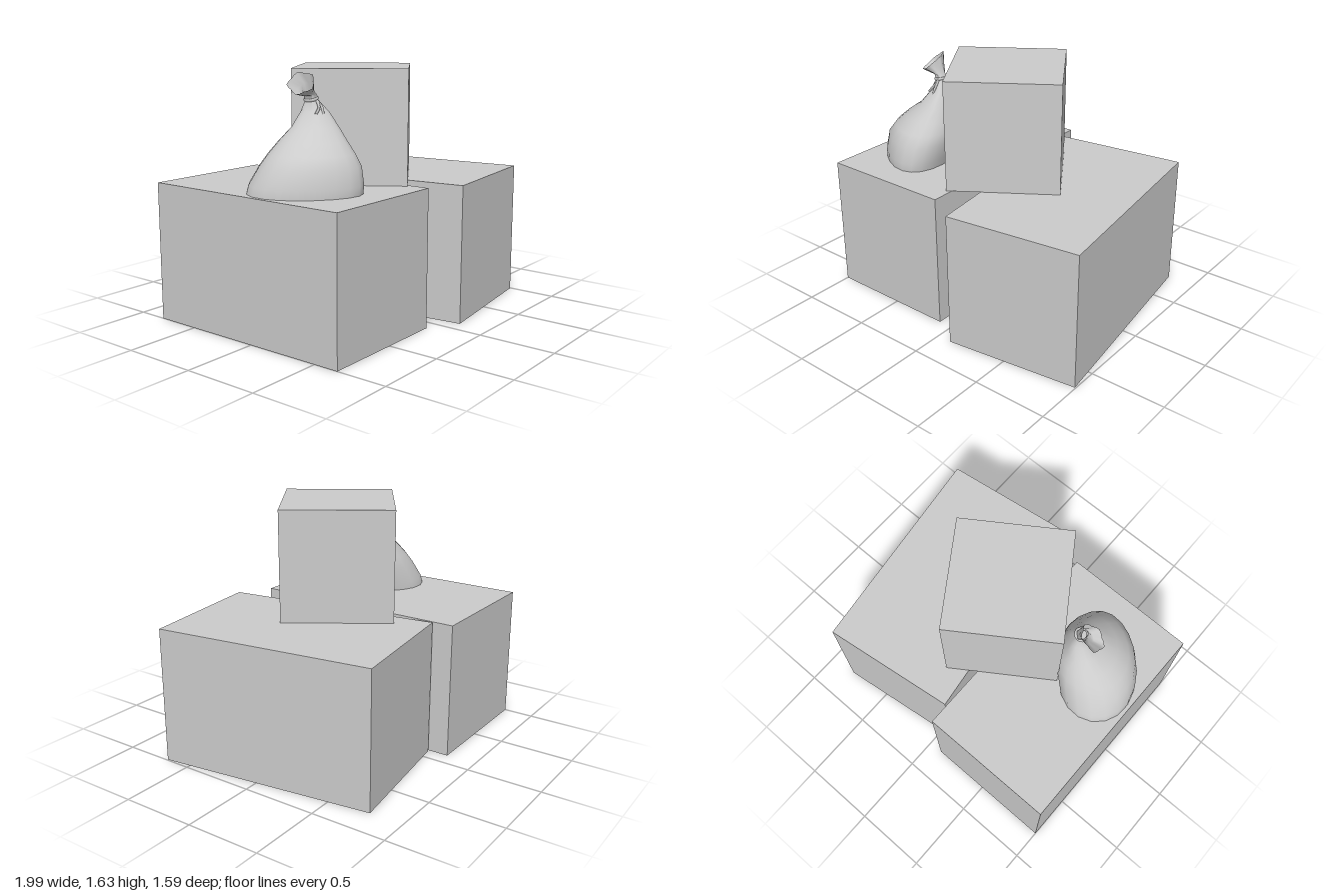
import * as THREE from 'three';

const grey = new THREE.MeshStandardMaterial({ color: 0xcccccc });
const greyDouble = new THREE.MeshStandardMaterial({ color: 0xcccccc, side: THREE.DoubleSide });
const BOX_H = 0.905;

function addBox(group, name, [w, h, d], [x, y, z], turn = 0) {
  const mesh = new THREE.Mesh(new THREE.BoxGeometry(w, h, d), grey);
  mesh.name = name;
  mesh.position.set(x, y + h / 2, z);
  mesh.rotation.y = turn;
  group.add(mesh);
}

// Skin stretched over closed rings of points, from bottom to top
function loft(rings) {
  const n = rings[0].length, index = [];
  for (let i = 0; i < rings.length - 1; i++) {
    for (let j = 0; j < n; j++) {
      const a = i * n + j, b = i * n + (j + 1) % n;
      index.push(a, b, b + n, a, b + n, a + n);
    }
  }
  const geo = new THREE.BufferGeometry().setFromPoints(rings.flat());
  geo.setIndex(index);
  geo.computeVertexNormals();
  return geo;
}

// Egg-shaped ring: centre, half-axes as vectors, taper towards +u, pleat depth
function ring(center, u, v, taper = 0, pleat = 0) {
  const points = [];
  for (let j = 0; j < 20; j++) {
    const a = (j / 20) * Math.PI * 2;
    const r = 1 + pleat * Math.cos(5 * a);
    points.push(center.clone()
      .addScaledVector(u, r * Math.cos(a))
      .addScaledVector(v, r * Math.sin(a) * (1 - taper * Math.cos(a))));
  }
  return points;
}

function createBag() {
  const bag = new THREE.Group();
  bag.name = 'tiedSack';
  const vec = (x, y, z) => new THREE.Vector3(x, y, z);
  const add = (name, geo, mat = greyDouble) => {
    const mesh = new THREE.Mesh(geo, mat);
    mesh.name = name;
    bag.add(mesh);
    return mesh;
  };
  const along = vec(0.52, 0, 0.85), across = vec(0.85, 0, -0.52);

  // Body: x, y, z of the centre, half length, half width, taper, pleat
  const flat = ([x, y, z, l, w, taper, pleat]) => ring(vec(x, y, z),
    along.clone().multiplyScalar(l), across.clone().multiplyScalar(w), taper, pleat);
  const base = [-0.685, BOX_H, 0.165, 0.355, 0.245, 0.15, 0];
  const body = [
    base,
    [-0.675, 0.96, 0.17, 0.35, 0.25, 0.15, 0],
    [-0.64, 1.07, 0.175, 0.31, 0.25, 0.13, 0],
    [-0.615, 1.14, 0.165, 0.265, 0.225, 0.1, 0],
    [-0.585, 1.21, 0.15, 0.21, 0.18, 0.08, 0],
    [-0.55, 1.29, 0.135, 0.145, 0.115, 0, 0.03],
    [-0.53, 1.38, 0.115, 0.085, 0.066, 0, 0.06],
    [-0.54, 1.45, 0.1, 0.038, 0.034, 0, 0.12],
    [-0.55, 1.48, 0.098, 0.038, 0.034, 0, 0.15],
  ].map(flat);

  // Gathered mouth, flaring towards a tilted rim
  const rimU = vec(0.01, -0.028, 0.072), rimV = vec(0.075, 0.052, 0);
  const mouth = [[-0.578, 1.515, 0.094, 0.6], [-0.622, 1.555, 0.09, 1]].map(([x, y, z, s]) =>
    ring(vec(x, y, z), rimU.clone().multiplyScalar(s), rimV.clone().multiplyScalar(s), 0, 0.1));
  add('sackSkin', loft([...body, ...mouth]));
  add('sackBase', loft([flat([-0.685, BOX_H, 0.165, 0, 0, 0, 0]), flat(base)]));

  // Cord around the neck with two loose ends
  const cord = add('neckCord', new THREE.TorusGeometry(0.038, 0.01, 6, 16), grey);
  cord.position.set(-0.542, 1.455, 0.1);
  cord.rotation.set(Math.PI / 2, 0.2, 0);
  const ends = [
    [vec(-0.535, 1.45, 0.135), vec(-0.55, 1.41, 0.17), vec(-0.585, 1.37, 0.175)],
    [vec(-0.535, 1.45, 0.135), vec(-0.53, 1.4, 0.18), vec(-0.55, 1.335, 0.195)],
    [vec(-0.51, 1.45, 0.1), vec(-0.5, 1.42, 0.13), vec(-0.525, 1.36, 0.185)],
  ];
  for (const path of ends) {
    add('cordEnd', new THREE.TubeGeometry(new THREE.CatmullRomCurve3(path), 6, 0.009, 5));
  }
  return bag;
}

export function createModel() {
  const group = new THREE.Group();
  group.name = 'stackedBoxesWithSack';
  addBox(group, 'lowerRightBox', [0.9, BOX_H, 1.465], [-0.55, 0, -0.065]);
  addBox(group, 'lowerLeftBox', [0.9, BOX_H, 1.465], [0.453, 0, 0.007], 0.13);
  addBox(group, 'upperBox', [0.722, 0.727, 0.722], [-0.03, BOX_H, 0.03], 0.588);
  group.add(createBag());
  return group;
}
